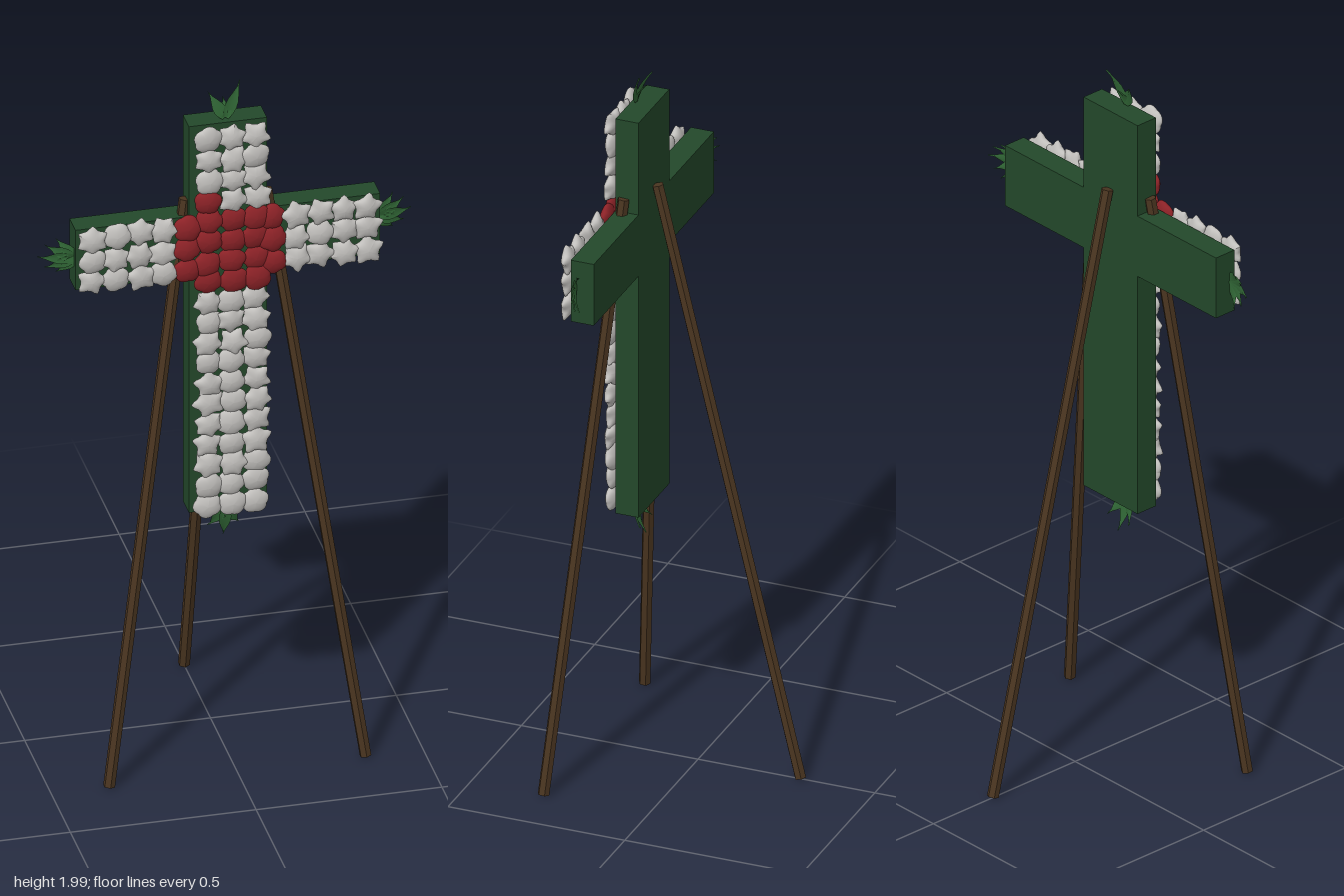
import * as THREE from 'three';

const mat = (name, color, extra = {}) => {
  const m = new THREE.MeshStandardMaterial({ color, ...extra });
  m.name = name;
  return m;
};

// Small seeded generator for natural variation
function seeded(seed) {
  return () => {
    seed = (seed * 16807) % 2147483647;
    return seed / 2147483647;
  };
}

// Flattened blossom with rounded lobes or pointed petal tips
function blossomGeometry(lobes, amount, pointed) {
  const g = new THREE.SphereGeometry(1, 30, 12);
  g.rotateX(Math.PI / 2);
  const p = g.attributes.position;
  for (let i = 0; i < p.count; i++) {
    const x = p.getX(i), y = p.getY(i), z = p.getZ(i);
    const wave = Math.abs(Math.cos(Math.atan2(y, x) * lobes / 2));
    const rim = 1 - z * z;
    const k = 1 + amount * rim * ((pointed ? wave ** 4 : wave) - 0.4);
    p.setXYZ(i, x * k, y * k, z * (1 - 0.15 * wave * rim));
  }
  g.computeVertexNormals();
  return g;
}

// Pointed leaf along +y, bending backwards toward its tip
function leafGeometry(length, width) {
  const g = new THREE.PlaneGeometry(1, 1, 2, 6);
  const p = g.attributes.position;
  for (let i = 0; i < p.count; i++) {
    const t = p.getY(i) + 0.5, u = p.getX(i) * 2;
    const half = width / 2 * (0.25 + 0.75 * Math.sin(Math.PI * Math.min(1, t + 0.1))) * (1 - t ** 3);
    p.setXYZ(i, u * half, t * length, -0.026 * t * t + 0.004 * u * u);
  }
  g.computeVertexNormals();
  return g;
}

export function createModel() {
  const model = new THREE.Group();
  model.name = 'flowerCrossOnEasel';
  const board = mat('boardGreen', 0x23482a);
  const wood = mat('darkWood', 0x4a3520, { flatShading: true });
  const white = mat('blossomWhite', 0xc2c0bd);
  const red = mat('blossomRed', 0x8c2227);
  const leafGreen = mat('leafGreen', 0x2f6434, { side: THREE.DoubleSide });
  const rand = seeded(41);

  const add = (parent, name, geometry, material, x = 0, y = 0, z = 0) => {
    const m = new THREE.Mesh(geometry, material);
    m.name = name;
    m.position.set(x, y, z);
    parent.add(m);
    return m;
  };

  // Cross-shaped backing board, cut as a single outline
  const outline = [[0.105, 0.74], [0.105, 1.45], [0.41, 1.45], [0.41, 1.63], [0.105, 1.63], [0.105, 1.9]];
  const shape = new THREE.Shape([
    ...outline.map(([x, y]) => new THREE.Vector2(x, y)),
    ...outline.slice().reverse().map(([x, y]) => new THREE.Vector2(-x, y)),
  ]);
  add(model, 'crossBoard', new THREE.ExtrudeGeometry(shape, { depth: 0.065, bevelEnabled: false }), board, 0, 0, 0.125);

  // Three easel legs
  const leg = (name, top, foot) => {
    const a = new THREE.Vector3(...top), b = new THREE.Vector3(...foot);
    const dir = a.clone().sub(b);
    const m = add(model, name, new THREE.CylinderGeometry(0.016, 0.016, dir.length(), 6), wood);
    m.position.copy(a).add(b).multiplyScalar(0.5);
    m.quaternion.setFromUnitVectors(new THREE.Vector3(0, 1, 0), dir.normalize());
  };
  leg('backLeg', [0, 1.672, 0.114], [0, 0.008, -0.29]);
  leg('leftLeg', [0.11, 1.672, 0.165], [0.345, 0.008, 0.294]);
  leg('rightLeg', [-0.11, 1.672, 0.165], [-0.345, 0.008, 0.294]);

  // Blossoms in three rows along each arm, red at the crossing
  const flowers = new THREE.Group();
  flowers.name = 'blossoms';
  model.add(flowers);
  const round = blossomGeometry(5, 0.14, false);
  const kinds = [round, blossomGeometry(5, 0.4, true), blossomGeometry(6, 0.3, true)];
  const blossom = (x, y, isRed) => {
    const kind = isRed ? round : kinds[Math.floor(rand() * 3)];
    const m = add(flowers, isRed ? 'redBlossom' : 'whiteBlossom', kind, isRed ? red : white,
      x + (rand() - 0.5) * 0.008, y + (rand() - 0.5) * 0.008, 0.211 + rand() * 0.004);
    const size = 0.035 + rand() * 0.003;
    m.scale.set(size, size, 0.016);
    m.rotation.set((rand() - 0.5) * 0.2, (rand() - 0.5) * 0.2, rand() * 6.28);
  };
  for (let i = 0; i < 19; i++) {
    for (let c = 0; c < 3; c++) {
      blossom(-0.058 + c * 0.064, 1.864 - i * 0.0608, (i >= 4 && i <= 7) || (i === 3 && c === 0));
    }
  }
  for (const side of [-1, 1]) {
    for (let c = 0; c < 5; c++) {
      for (let r = 0; r < 3; r++) blossom(side * (0.37 - c * 0.064), 1.61 - r * 0.064, c === 4);
    }
  }

  // Leaf sprays at the four ends: [angle in degrees, length]
  const spray = (name, x, y, turn, leaves) => {
    const g = new THREE.Group();
    g.name = name;
    g.position.set(x, y, 0.172);
    g.rotation.z = turn;
    leaves.forEach(([angle, length]) => {
      add(g, 'leaf', leafGeometry(length, 0.036), leafGreen).rotation.z = THREE.MathUtils.degToRad(angle);
    });
    model.add(g);
  };
  const sideLeaves = [[-48, 0.068], [-24, 0.082], [0, 0.095], [24, 0.082], [48, 0.068]];
  spray('topLeaves', -0.003, 1.905, 0, [[-26, 0.104], [0, 0.05], [30, 0.082]]);
  spray('bottomLeaves', -0.003, 0.735, Math.PI, [[-34, 0.075], [0, 0.095], [34, 0.075]]);
  spray('leftLeaves', 0.408, 1.555, -Math.PI / 2, sideLeaves);
  spray('rightLeaves', -0.408, 1.54, Math.PI / 2, sideLeaves);

  return model;
}
